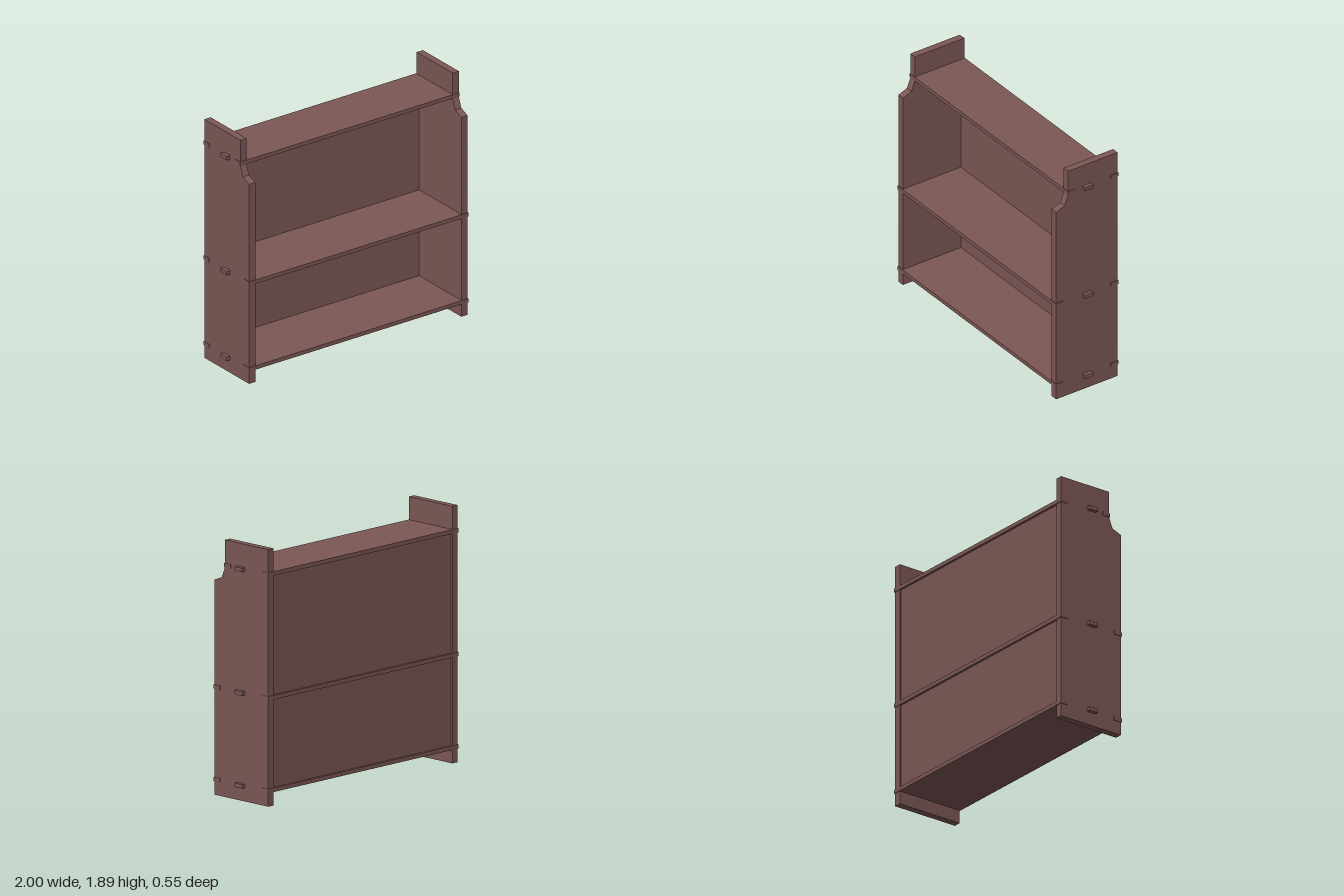
import * as THREE from 'three';

const INNER = 0.915, OUTER = 0.97, BACK = -0.275, THICK = 0.03;

function extrude(points, depth) {
  const shape = new THREE.Shape(points.map(([x, y]) => new THREE.Vector2(x, y)));
  return new THREE.ExtrudeGeometry(shape, { depth, bevelEnabled: false });
}

// Upright with a stepped front shoulder; profile is (z, y)
function sideGeometry() {
  const profile = [
    [-0.27, 0], [0.27, 0], [0.27, 1.58], [0.195, 1.61], [0.165, 1.685], [0.165, 1.89], [-0.27, 1.89],
  ];
  return extrude(profile, OUTER - INNER).rotateY(-Math.PI / 2);
}

// Shelf board with two corner tabs and one long central tenon at each end; outline is (x, z)
function shelfGeometry(front) {
  const half = [
    [0.975, BACK], [0.975, -0.21], [0.94, -0.21],
    [0.94, -0.037], [1, -0.037], [1, 0.039], [0.94, 0.039],
    [0.94, front - 0.065], [0.975, front - 0.065], [0.975, front],
  ];
  const mirrored = half.map(([x, z]) => [-x, z]).reverse();
  return extrude([...half, ...mirrored], THICK).rotateX(Math.PI / 2);
}

export function createModel() {
  const group = new THREE.Group();
  group.name = 'bookcase';
  const wood = new THREE.MeshStandardMaterial({ color: 0x7b5755 });
  wood.name = 'brown wood';

  const add = (name, geometry, x, y, z) => {
    const mesh = new THREE.Mesh(geometry, wood);
    mesh.name = name;
    mesh.position.set(x, y, z);
    group.add(mesh);
  };

  // Uprights
  const side = sideGeometry();
  add('leftSide', side, OUTER, 0, 0);
  add('rightSide', side, -INNER, 0, 0);

  // Shelves, placed by their top surface
  add('bottomShelf', shelfGeometry(0.275), 0, 0.13, 0);
  add('middleShelf', shelfGeometry(0.275), 0, 0.81, 0);
  add('topShelf', shelfGeometry(0.168), 0, 1.72, 0);

  // Recessed back panels between the shelves
  for (const [name, low, high] of [['lowerBackPanel', 0.13, 0.78], ['upperBackPanel', 0.81, 1.69]]) {
    add(name, new THREE.BoxGeometry(2 * INNER, high - low, 0.018), 0, (low + high) / 2, -0.249);
  }
  return group;
}
